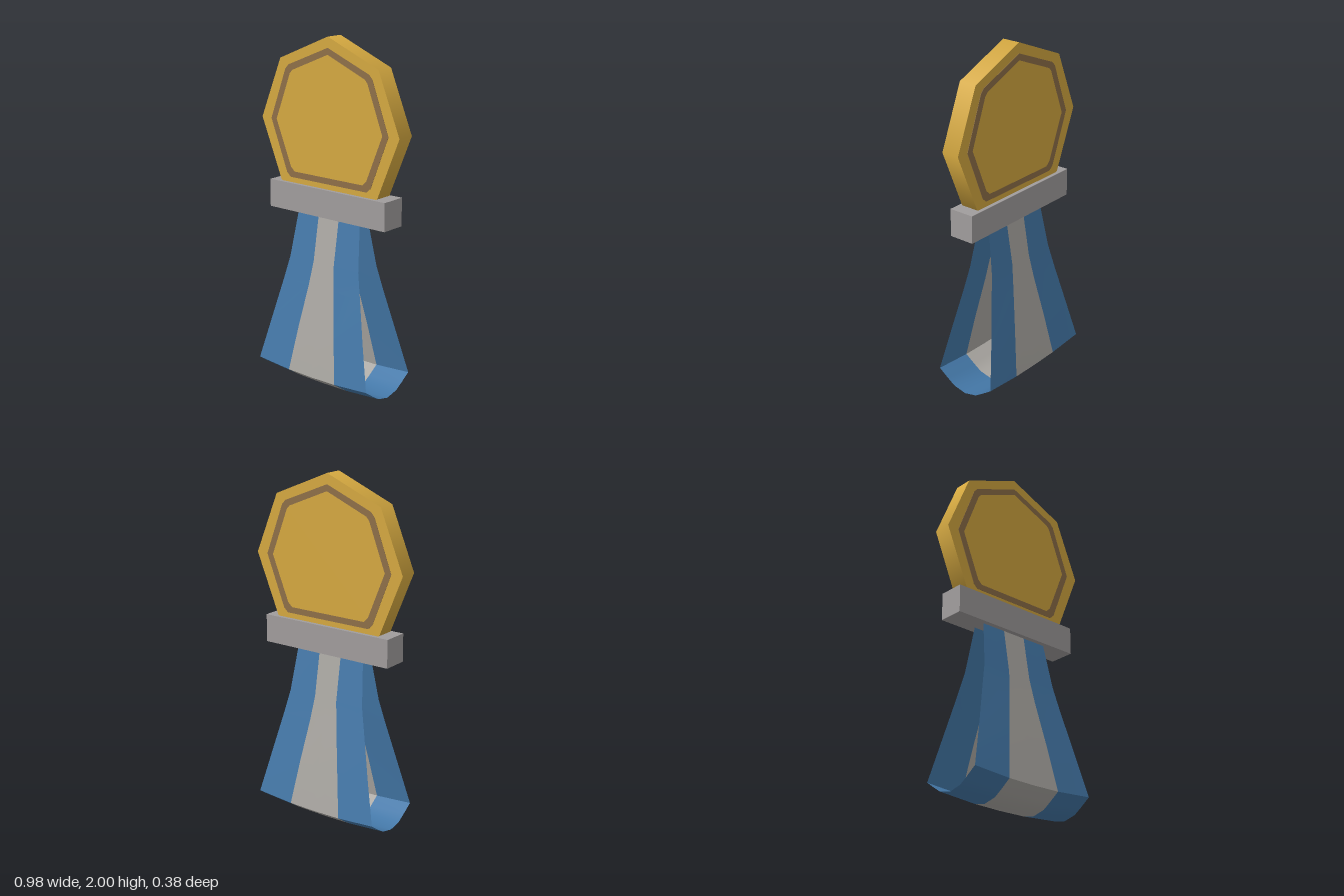
import * as THREE from 'three';

const mat = (name, color, side = THREE.FrontSide) => {
  const m = new THREE.MeshStandardMaterial({ color, side });
  m.name = name;
  return m;
};

// Sheet spanned between rows of points, each row having the same count
function sheet(rows) {
  const n = rows[0].length, index = [];
  for (let i = 0; i < rows.length - 1; i++) {
    for (let j = 0; j < n - 1; j++) {
      const a = i * n + j, b = a + n;
      index.push(a, b, a + 1, a + 1, b, b + 1);
    }
  }
  const g = new THREE.BufferGeometry();
  g.setAttribute('position', new THREE.Float32BufferAttribute(rows.flat(2), 3));
  g.setIndex(index);
  g.computeVertexNormals();
  return g;
}

export function createModel() {
  const model = new THREE.Group();
  model.name = 'medal';
  const gold = mat('gold', 0xd4a840);
  const bronze = mat('bronze', 0x8e6f48);
  const steel = mat('steel', 0xa09c9c);
  const blue = mat('ribbonBlue', 0x4478a8, THREE.DoubleSide);
  const grey = mat('ribbonGrey', 0xaaa7a2, THREE.DoubleSide);

  const add = (name, geometry, material, parent = model) => {
    const mesh = new THREE.Mesh(geometry, material);
    mesh.name = name;
    parent.add(mesh);
    return mesh;
  };

  // Eight-sided disc, its lowest corner sunk into the bar
  const discGeo = new THREE.CylinderGeometry(0.49, 0.49, 0.106, 8);
  discGeo.rotateX(Math.PI / 2);
  add('disc', discGeo, gold).position.set(0, 1.51, -0.01);

  // Inlaid ring on both faces, as half outlines mirrored in x
  const outline = (half, Type) => {
    const mirrored = half.slice(1).reverse().map(([x, y]) => [-x, y]);
    return new Type([...half, ...mirrored].map(([x, y]) => new THREE.Vector2(x, y)));
  };
  const ring = outline([[0, 1.94], [0.285, 1.825], [0.308, 1.8], [0.418, 1.51],
    [0.302, 1.215], [0.275, 1.19]], THREE.Shape);
  ring.holes.push(outline([[0, 1.903], [0.257, 1.797], [0.275, 1.777], [0.378, 1.51],
    [0.272, 1.25], [0.245, 1.225]], THREE.Path));
  const ringGeo = new THREE.ExtrudeGeometry(ring, { depth: 0.003, bevelEnabled: false });
  add('frontRing', ringGeo, bronze).position.z = 0.042;
  add('backRing', ringGeo, bronze).position.z = -0.065;

  // Clasp bar
  add('bar', new THREE.BoxGeometry(0.83, 0.16, 0.15), steel).position.set(0, 1.08, -0.01);

  // Ribbon loop: each row is [y, z, half width, half stripe width, rise at the sides]
  const front = [
    [1.01, 0.035, 0.222, 0.073, 0], [0.74, 0.08, 0.25, 0.074, 0],
    [0.6, 0.103, 0.282, 0.092, 0], [0.35, 0.148, 0.34, 0.132, 0.006],
    [0.092, 0.19, 0.4, 0.17, 0.02],
  ];
  const flip = rows => rows.map(([y, z, ...rest]) => [y, -z, ...rest]).reverse();
  const curve = [
    [0.092, 0.19, 0.4, 0.17, 0.02], [0.05, 0.13, 0.4, 0.17, 0.02],
    [0.018, 0.08, 0.4, 0.17, 0.02], [0, 0, 0.4, 0.17, 0.02],
  ];
  const sections = {
    front,
    bottom: [...curve, ...flip(curve).slice(1)],
    back: flip(front),
  };
  const ribbon = new THREE.Group();
  ribbon.name = 'ribbon';
  model.add(ribbon);
  for (const [name, rows] of Object.entries(sections)) {
    for (const s of [-1, 1]) {
      const side = rows.map(([y, z, w, t, rise]) => {
        const pts = [[s * t, y + rise * 0.15, z], [s * w, y + rise, z]];
        return s < 0 ? pts.reverse() : pts;
      });
      add(`${name}${s < 0 ? 'Right' : 'Left'}Band`, sheet(side), blue, ribbon);
    }
    const middle = rows.map(([y, z, , t, rise]) =>
      [[-t, y + rise * 0.15, z], [0, y, z], [t, y + rise * 0.15, z]]);
    add(`${name}Stripe`, sheet(middle), grey, ribbon);
  }
  return model;
}
